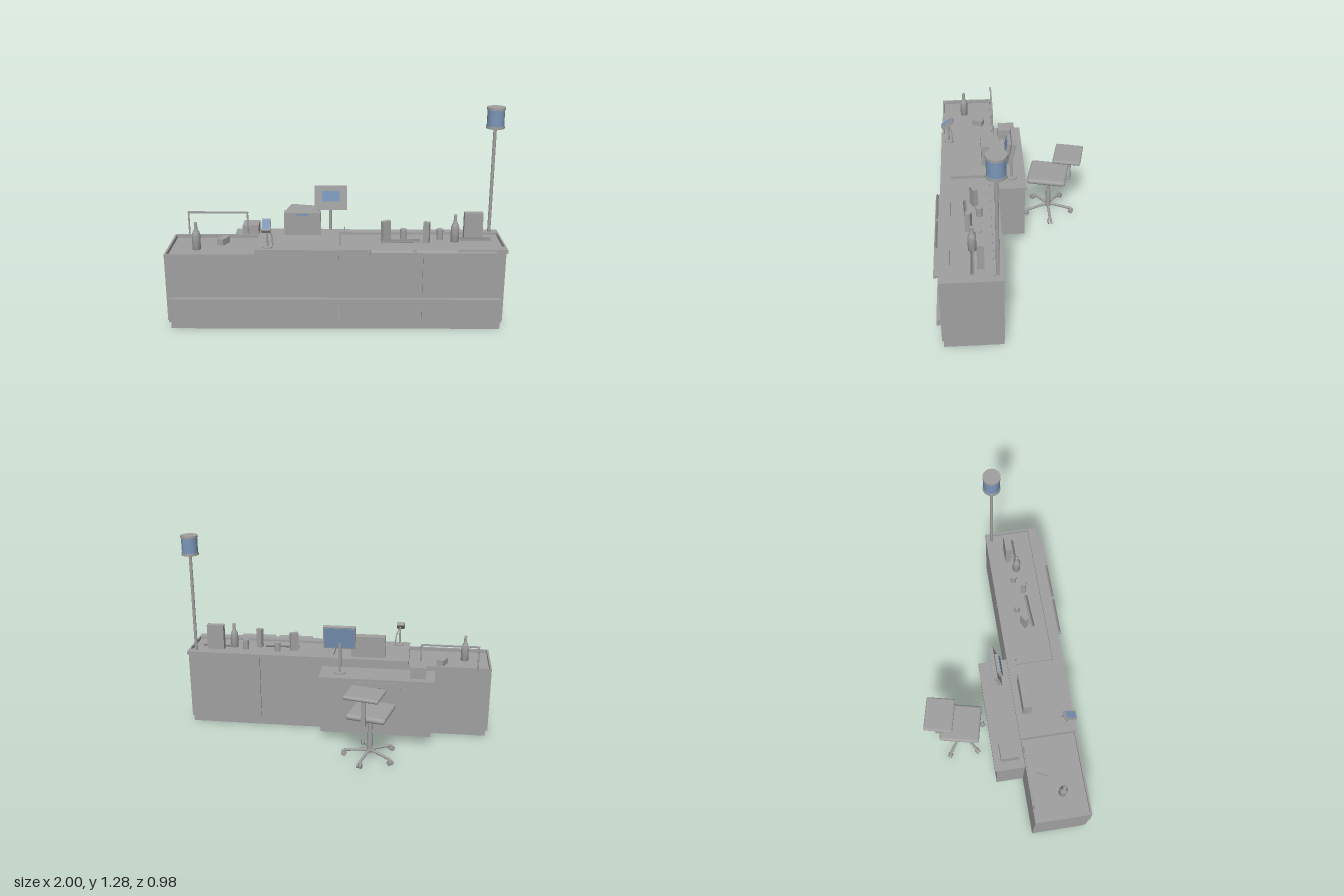
import * as THREE from 'three';
import { RoundedBoxGeometry } from 'three/addons/geometries/RoundedBoxGeometry.js';

const grey = new THREE.MeshStandardMaterial({ color: 0xa0a0a0 });
grey.name = 'grey';
const blue = new THREE.MeshStandardMaterial({ color: 0x7b96b8 });
blue.name = 'screenBlue';

function add(parent, name, geo, x = 0, y = 0, z = 0, mat = grey) {
  const m = new THREE.Mesh(geo, mat);
  m.name = name;
  m.position.set(x, y, z);
  parent.add(m);
  return m;
}

// Box given by its ranges along x, y and z
function span(parent, name, x0, x1, y0, y1, z0, z1, mat = grey) {
  return add(parent, name, new THREE.BoxGeometry(x1 - x0, y1 - y0, z1 - z0),
    (x0 + x1) / 2, (y0 + y1) / 2, (z0 + z1) / 2, mat);
}

// Upright cylinder from y0 to y1
function post(parent, name, x, z, y0, y1, r, rTop = r, mat = grey) {
  return add(parent, name, new THREE.CylinderGeometry(rTop, r, y1 - y0, 24), x, (y0 + y1) / 2, z, mat);
}

function tube(parent, name, points, r) {
  const path = new THREE.CatmullRomCurve3(points.map(p => new THREE.Vector3(...p)));
  return add(parent, name, new THREE.TubeGeometry(path, 16, r, 8));
}

function bottle(parent, x, y, z) {
  const profile = [[0, 0], [0.025, 0], [0.025, 0.09], [0.02, 0.108], [0.011, 0.125], [0.009, 0.16], [0.011, 0.168], [0, 0.168]];
  add(parent, 'bottle', new THREE.LatheGeometry(profile.map(p => new THREE.Vector2(...p)), 24), x, y, z);
}

// Four walls without top or bottom
function walls(parent, name, x0, x1, y0, y1, z0, z1, t) {
  span(parent, name + 'Front', x0, x1, y0, y1, z1 - t, z1);
  span(parent, name + 'Back', x0, x1, y0, y1, z0, z0 + t);
  span(parent, name + 'Side', x0, x0 + t, y0, y1, z0 + t, z1 - t);
  span(parent, name + 'Side', x1 - t, x1, y0, y1, z0 + t, z1 - t);
}

function counter() {
  const g = new THREE.Group();
  g.name = 'counter';
  walls(g, 'plinth', -0.985, 0.98, 0, 0.06, 0.108, 0.452, 0.012);
  // Cladding panels with narrow joints
  for (const [a, b, top] of [[-1, -0.47, 0.477], [-0.47, 0.015, 0.485], [0.019, 0.506], [0.51, 0.99]].map(p => [p[0], p[1], p[2] ?? 0.485])) {
    span(g, 'frontPanel', a, b, 0.06, top, 0.448, 0.46);
    span(g, 'backPanel', a, b, 0.04, top, 0.105, 0.117);
  }
  span(g, 'endPanel', -1, -0.988, 0.04, 0.477, 0.117, 0.448);
  span(g, 'endPanel', 0.978, 0.99, 0.04, 0.485, 0.117, 0.448);
  span(g, 'baggingFloor', -0.988, -0.47, 0.44, 0.453, 0.117, 0.448);
  span(g, 'middleTop', -0.47, 0.02, 0.485, 0.505, 0.1, 0.46);
  span(g, 'topStep', -0.47, -0.458, 0.44, 0.485, 0.117, 0.448);
  // Sunken conveyor with rims
  span(g, 'rearRim', 0.02, 1, 0.485, 0.507, 0.1, 0.155);
  span(g, 'frontRim', 0.02, 1, 0.485, 0.507, 0.398, 0.46);
  span(g, 'endRim', 0.99, 1, 0.485, 0.507, 0.155, 0.398);
  span(g, 'conveyorBelt', 0.03, 0.985, 0.475, 0.492, 0.155, 0.398);
  // Bumper and customer shelf
  span(g, 'bumperRail', -0.985, 0.97, 0.165, 0.205, 0.46, 0.485);
  span(g, 'customerShelf', 0.2, 0.93, 0.483, 0.498, 0.46, 0.487);
  const wedge = new THREE.Shape([[0, 0], [0.016, 0], [0.008, 0.016]].map(p => new THREE.Vector2(...p)));
  for (const x of [0.21, 0.47]) {
    const m = add(g, 'shelfRidge', new THREE.ExtrudeGeometry(wedge, { depth: 0.235, bevelEnabled: false }), x, 0.498, 0.485);
    m.rotation.y = Math.PI / 2;
  }
  return g;
}

function desk() {
  const g = new THREE.Group();
  g.name = 'cashierDesk';
  span(g, 'deskTop', -0.64, 0.09, 0.427, 0.445, -0.085, 0.105);
  walls(g, 'deskWall', -0.63, 0.08, 0.06, 0.427, -0.073, 0.105, 0.012);
  span(g, 'drawer', -0.43, -0.16, 0.355, 0.42, -0.078, -0.073);
  add(g, 'drawerKnob', new THREE.SphereGeometry(0.007, 12, 8), -0.295, 0.39, -0.08);
  span(g, 'deskBox', -0.585, -0.485, 0.445, 0.52, -0.04, 0.073);
  return g;
}

function monitor() {
  const g = new THREE.Group();
  g.name = 'monitor';
  post(g, 'monitorBase', -0.035, 0.008, 0.445, 0.453, 0.038);
  post(g, 'monitorStand', -0.035, 0.008, 0.453, 0.65, 0.009);
  const head = new THREE.Group();
  head.name = 'monitorHead';
  head.position.set(-0.033, 0.685, 0.01);
  head.rotation.x = -0.2;
  span(head, 'monitorCase', -0.103, 0.103, -0.077, 0.077, -0.013, 0.013);
  span(head, 'cashierScreen', -0.096, 0.096, -0.07, 0.07, -0.016, -0.012, blue);
  span(head, 'customerCase', -0.062, 0.062, -0.028, 0.052, 0.013, 0.034);
  span(head, 'customerScreen', -0.054, 0.054, -0.02, 0.045, 0.033, 0.036, blue);
  g.add(head);
  return g;
}

function payTerminal() {
  const g = new THREE.Group();
  g.name = 'payTerminal';
  post(g, 'terminalBase', -0.4, 0.41, 0.505, 0.512, 0.03);
  post(g, 'terminalStand', -0.4, 0.41, 0.512, 0.63, 0.006);
  tube(g, 'terminalCable', [[-0.395, 0.62, 0.4], [-0.378, 0.58, 0.39], [-0.37, 0.507, 0.385]], 0.004);
  const pad = new THREE.Group();
  pad.name = 'terminalPad';
  pad.position.set(-0.403, 0.64, 0.416);
  pad.rotation.x = 0.6;
  span(pad, 'padCase', -0.026, 0.026, -0.012, 0.012, -0.044, 0.044);
  span(pad, 'padScreen', -0.021, 0.021, 0.011, 0.014, -0.036, 0.034, blue);
  g.add(pad);
  return g;
}

function goods() {
  const g = new THREE.Group();
  g.name = 'goods';
  bottle(g, 0.715, 0.49, 0.272);
  bottle(g, -0.835, 0.453, 0.305);
  post(g, 'can', 0.41, 0.225, 0.492, 0.553, 0.02);
  post(g, 'can', 0.63, 0.237, 0.492, 0.558, 0.02);
  // Cartons: x, z, width, base, top, depth, turn
  for (const [x, z, w, y0, y1, d, turn] of [
    [0.83, 0.228, 0.112, 0.492, 0.66, 0.04, 0], [0.302, 0.255, 0.054, 0.492, 0.615, 0.028, 0.5],
    [0.543, 0.29, 0.036, 0.492, 0.62, 0.032, -0.35], [-0.687, 0.208, 0.045, 0.453, 0.492, 0.075, -0.45],
  ]) span(g, 'carton', x - w / 2, x + w / 2, y0, y1, z - d / 2, z + d / 2).rotation.y = turn;
  // Dividing bars on the belt
  for (const [x, z, turn] of [[0.39, 0.302, 0.05], [0.815, 0.27, 0]]) {
    const bar = add(g, 'dividerBar', new THREE.CylinderGeometry(0.014, 0.014, 0.23, 3), x, 0.5, z);
    bar.rotation.set(0, turn, Math.PI / 2);
  }
  return g;
}

function fittings() {
  const g = new THREE.Group();
  g.name = 'fittings';
  // Lane light
  post(g, 'lightPole', 0.945, 0.138, 0.505, 1.16, 0.01);
  post(g, 'lightBottom', 0.945, 0.138, 1.158, 1.173, 0.055);
  post(g, 'lightGlass', 0.945, 0.138, 1.173, 1.27, 0.051, 0.051, blue);
  post(g, 'lightTop', 0.945, 0.138, 1.27, 1.285, 0.055);
  // Bag frame
  for (const x of [-0.912, -0.548]) post(g, 'bagFramePost', x, 0.108, 0.45, 0.623, 0.005);
  span(g, 'bagFrameBar', -0.917, -0.543, 0.615, 0.625, 0.103, 0.113);
  // Printer with a small display
  span(g, 'printer', -0.315, -0.092, 0.505, 0.645, 0.142, 0.197);
  span(g, 'printerDisplay', -0.24, -0.17, 0.627, 0.64, 0.197, 0.2, blue);
  span(g, 'sensorPost', 0.05, 0.056, 0.49, 0.545, 0.158, 0.164);
  return g;
}

function chair() {
  const g = new THREE.Group();
  g.name = 'chair';
  g.position.set(-0.255, 0, -0.262);
  post(g, 'columnLower', 0, 0, 0.03, 0.17, 0.018);
  post(g, 'columnUpper', 0, 0, 0.17, 0.28, 0.013);
  // Five-legged base with castors
  for (let i = 0; i < 5; i++) {
    const leg = new THREE.Group();
    leg.name = 'baseLeg';
    leg.rotation.y = -i * Math.PI * 0.4;
    tube(leg, 'legArm', [[0.01, 0.05, 0], [0.09, 0.044, 0], [0.165, 0.036, 0]], 0.009);
    for (const z of [-0.009, 0.009]) {
      add(leg, 'castor', new THREE.CylinderGeometry(0.017, 0.017, 0.011, 16), 0.163, 0.017, z).rotation.x = Math.PI / 2;
    }
    g.add(leg);
  }
  // Seat, bracket and backrest
  const top = new THREE.Group();
  top.name = 'chairTop';
  top.rotation.y = -0.23;
  add(top, 'seat', new RoundedBoxGeometry(0.25, 0.037, 0.26, 4, 0.018), 0, 0.306, 0.006);
  span(top, 'seatPlate', -0.05, 0.05, 0.272, 0.289, -0.08, 0.06);
  span(top, 'backBracket', -0.014, 0.014, 0.277, 0.288, -0.143, -0.05);
  span(top, 'backPost', -0.014, 0.014, 0.277, 0.47, -0.148, -0.136);
  add(top, 'backrest', new RoundedBoxGeometry(0.22, 0.024, 0.185, 4, 0.011), 0, 0.475, -0.125);
  g.add(top);
  return g;
}

export function createModel() {
  const model = new THREE.Group();
  model.name = 'checkoutCounter';
  model.add(counter(), desk(), monitor(), payTerminal(), goods(), fittings(), chair());
  return model;
}
